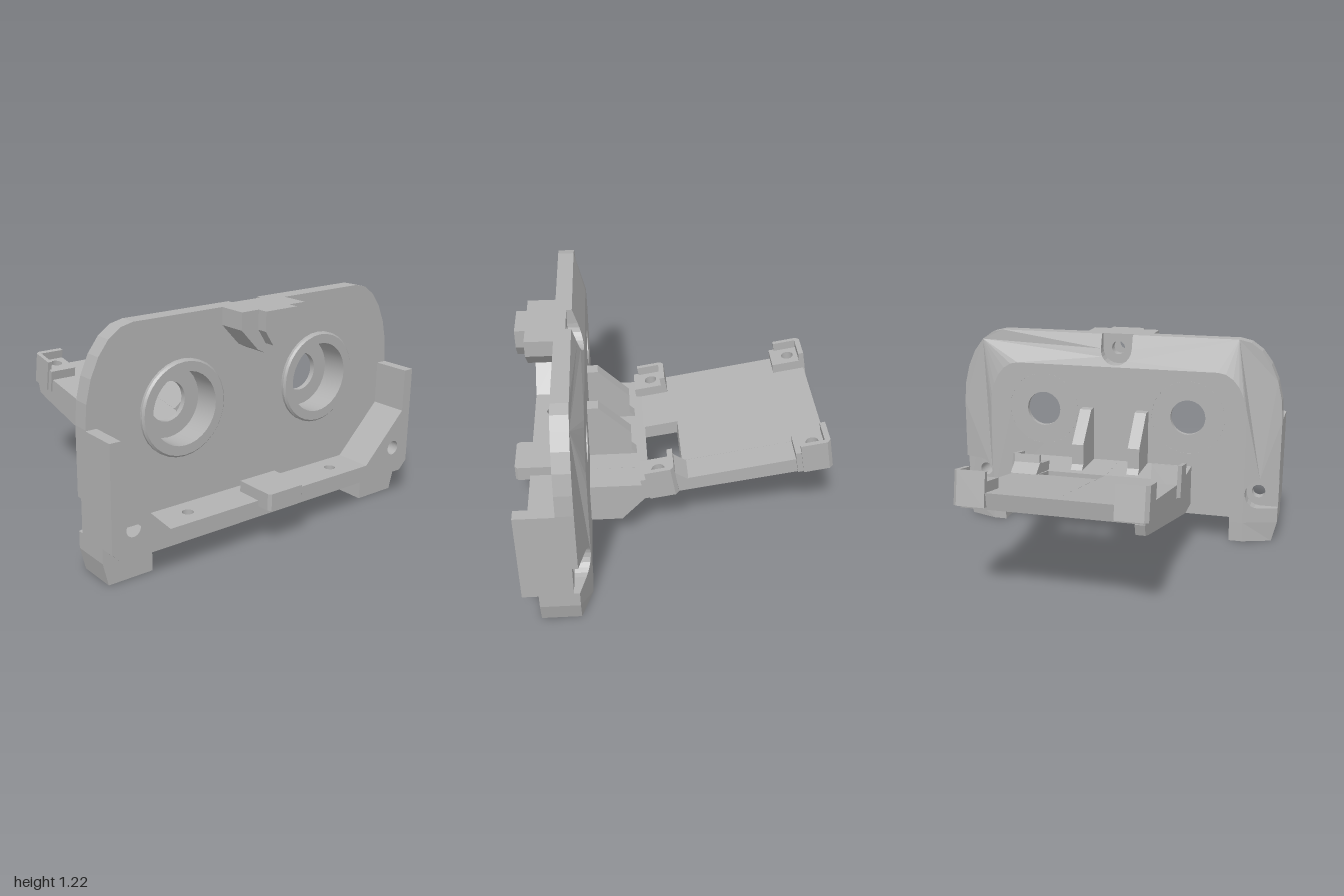
import * as THREE from 'three';
import { toCreasedNormals } from 'three/addons/utils/BufferGeometryUtils.js';

const grey = new THREE.MeshStandardMaterial({ color: 0xb2b2b2 });
grey.name = 'plain grey';

// Extrude a polygon with round holes [x, y, r] between two depths.
function prism(points, from, to, holes = []) {
  const shape = new THREE.Shape(points.map(([x, y]) => new THREE.Vector2(x, y)));
  for (const [x, y, r] of holes) {
    const path = new THREE.Path();
    path.absarc(x, y, r, 0, Math.PI * 2, true);
    shape.holes.push(path);
  }
  const geo = new THREE.ExtrudeGeometry(shape, { depth: to - from, bevelEnabled: false, curveSegments: 20 });
  return geo.translate(0, 0, from);
}
// Polygon in (z, y) spanning x0..x1, and polygon in (x, z) spanning y0..y1
const alongX = (pts, x0, x1) => prism(pts, -x1, -x0).rotateY(-Math.PI / 2);
const alongY = (pts, y0, y1, holes) => prism(pts, -y1, -y0, holes).rotateX(Math.PI / 2);
const rect = (x0, y0, x1, y1) => [[x0, y0], [x1, y0], [x1, y1], [x0, y1]];
const flip = (pts, s) => pts.map(([x, ...rest]) => [x * s, ...rest]);

// Points on an elliptical arc, angles in degrees
function arc(cx, cy, rx, ry, a0, a1, n) {
  return Array.from({ length: n + 1 }, (_, i) => {
    const a = THREE.MathUtils.degToRad(a0 + (a1 - a0) * i / n);
    return [cx + rx * Math.cos(a), cy + ry * Math.sin(a)];
  });
}

export function createModel() {
  const model = new THREE.Group();
  const add = (name, geo, parent = model) => {
    const mesh = new THREE.Mesh(geo, grey);
    mesh.name = name;
    parent.add(mesh);
    return mesh;
  };

  // Face plate: front layer, flat back core and a bevelled rim
  const outerArc = arc(0.73, 0.75, 0.27, 0.47, 0, 90, 6);
  const innerArc = arc(0.62, 0.75, 0.18, 0.28, 90, 0, 6);
  const lenses = [[-0.45, 0.75, 0.22], [0.45, 0.75, 0.22]];
  const screws = [[-0.88, 0.3, 0.04], [0.88, 0.3, 0.04], [0, 1.135, 0.04]];
  const outline = [[-1, 0.15], [1, 0.15], ...outerArc, ...flip(outerArc, -1).reverse()];
  add('facePlate', prism(outline, 0.52, 0.58, [...lenses, ...screws]));
  const core = [[-0.8, 0.15], [0.8, 0.15], ...[...innerArc].reverse(), ...flip(innerArc, -1)];
  add('facePlateBack', prism(core, 0.43, 0.52, lenses));

  // Half rim with screw pockets open to the side and to the top
  const halfRim = [
    [0, 1.03], ...innerArc, [0.8, 0.15], [1, 0.15], [1, 0.21],
    ...arc(0.89, 0.3, 0.085, 0.09, 270, 90, 10), [1, 0.39],
    ...outerArc, [0.095, 1.22], ...arc(0, 1.135, 0.095, 0.095, 0, -90, 6),
  ];
  for (const s of [-1, 1]) {
    const geo = prism(flip(halfRim, s), 0.43, 0.52);
    const p = geo.attributes.position;
    for (let i = 0; i < p.count; i++) {
      if (p.getZ(i) > 0.45) continue;
      const x = Math.abs(p.getX(i)), y = p.getY(i);
      const onArc = x > 0.5 && y > 0.74 && (x > 0.81 || y > 1.04);
      const t = onArc ? 1 : Math.max((x - 0.8) / 0.2, (y - 1.03) / 0.19);
      p.setZ(i, 0.43 + 0.06 * THREE.MathUtils.clamp(t, 0, 1));
    }
    geo.computeVertexNormals();
    add('bevelledRim', geo);
  }

  // Stepped round sockets
  const cup = [
    [0.105, 0.43], [0.22, 0.43], [0.22, 0.58], [0.25, 0.58], [0.25, 0.595], [0.24, 0.605],
    [0.19, 0.605], [0.19, 0.46], [0.105, 0.46], [0.105, 0.43],
  ].map(([x, y]) => new THREE.Vector2(x, y));
  for (const [x, y] of lenses) {
    const geo = toCreasedNormals(new THREE.LatheGeometry(cup, 32), 0.6);
    add('roundSocket', geo.rotateX(Math.PI / 2).translate(x, y, 0));
  }

  // Front frame: sides, floor and tab
  const side = [[1, 0.745], [0.94, 0.745], [0.94, 0.51], [0.67, 0.24], [0.67, 0.15], [0.95, 0.15], [1, 0.2]];
  const leg = [[0.72, 0.43], [0.8, 0.43], [1, 0.49], [1, 0.7], [0.72, 0.7]];
  for (const s of [-1, 1]) {
    add('frameSide', prism(flip(side, s), 0.58, 0.785, [[0.88 * s, 0.3, 0.04]]));
    // Foot with a blind hole and a chamfered outer bottom edge
    const foot = alongY(flip(leg, s), 0, 0.12, [[0.86 * s, 0.57, 0.06]]);
    const p = foot.attributes.position;
    for (let i = 0; i < p.count; i++) {
      if (p.getY(i) < 0.01 && Math.abs(p.getX(i)) > 0.99) p.setX(i, 0.97 * s);
    }
    foot.computeVertexNormals();
    add('foot', foot);
    add('footTop', alongY(flip(leg, s), 0.12, 0.2));
  }
  add('frameFloor', alongY(rect(-0.67, 0.58, 0.67, 0.785), 0.15, 0.24, [[-0.49, 0.68, 0.03], [0.49, 0.68, 0.03]]));
  add('frontTab', alongY([[-0.12, 0.64], [0.115, 0.64], [0.115, 0.855], [0.1, 0.87], [-0.105, 0.87], [-0.12, 0.855]], 0.21, 0.3));

  // Stepped screw boss at the top
  const bossHole = [[0, 1.135, 0.04]];
  const bossHalf = [[0.205, 1.22], [0.205, 1.13], [0.1, 1.02], [0.05, 0.995]];
  add('topBoss', prism([...bossHalf, ...flip(bossHalf, -1).reverse()], 0.58, 0.73, bossHole));
  add('topBossTip', prism([[0.1, 1.22], [0.1, 1.12], [0.05, 1.045], [-0.05, 1.045], [-0.1, 1.12], [-0.1, 1.22]], 0.73, 0.785, bossHole));

  // Rear tray, sloping up to the back, with a rectangular window
  const top = z => 0.49 + (-0.1 - z) * 0.176;
  const under = z => 0.37 + (0.12 - z) * 0.167;
  const front = [[0.43, 0.45], [0.43, 0.21], [0.26, 0.21], [0.12, under(0.12)]];
  const end = [[-0.84, under(-0.84)], [-0.855, top(-0.855)]];
  const full = [...front, ...end, [0.12, 0.45]];
  add('tray', alongX(full, -0.48, -0.03));
  add('tray', alongX(full, 0.32, 0.47));
  add('trayFront', alongX([...front, [0.11, under(0.11)], [0.11, 0.451]], -0.03, 0.32));
  add('trayBack', alongX([[-0.077, under(-0.077)], ...end, [-0.077, top(-0.077)]], -0.03, 0.32));
  add('traySkirt', alongX([[0.26, 0.21], [-0.76, 0.452], [-0.84, 0.475], [-0.86, 0.534], [0.12, 0.37]], -0.48, -0.43));

  // Corner pads with a hole, a rear lip and an outer lip
  for (const [s, z] of [[-1, -0.775], [1, -0.775], [-1, 0.05], [1, 0.05]]) {
    const pad = new THREE.Group();
    pad.name = 'cornerPad';
    pad.position.set(0.41 * s, top(z), z);
    pad.rotation.x = 0.175;
    model.add(pad);
    add('padBase', alongY(rect(-0.08, -0.08, 0.08, 0.1), -0.075, 0.055, [[0.005, 0, 0.035]]), pad);
    const lip = [[-0.08, -0.09], [0.07, -0.09], [0.09, -0.07], [0.09, 0.07], [0.065, 0.07], [0.065, -0.06], [-0.08, -0.06]];
    add('padLip', alongY(flip(lip, s), -0.075, 0.105), pad);
  }
  // Ramp from the window pad down to the tray
  add('padRamp', alongX([[-0.02, 0.45], [-0.1, 0.48], [-0.1, 0.49], [-0.025, 0.54], [0, 0.54]], 0.325, 0.48));

  // Braces between tray and plate
  const brace = [[0.43, 0.44], [0.43, 0.775], [0.37, 0.775], [0.195, 0.6], [0.195, 0.48], [0.155, 0.44]];
  for (const x of [-0.175, 0.165]) add('brace', alongX(brace, x - 0.035, x + 0.035));

  return model;
}
